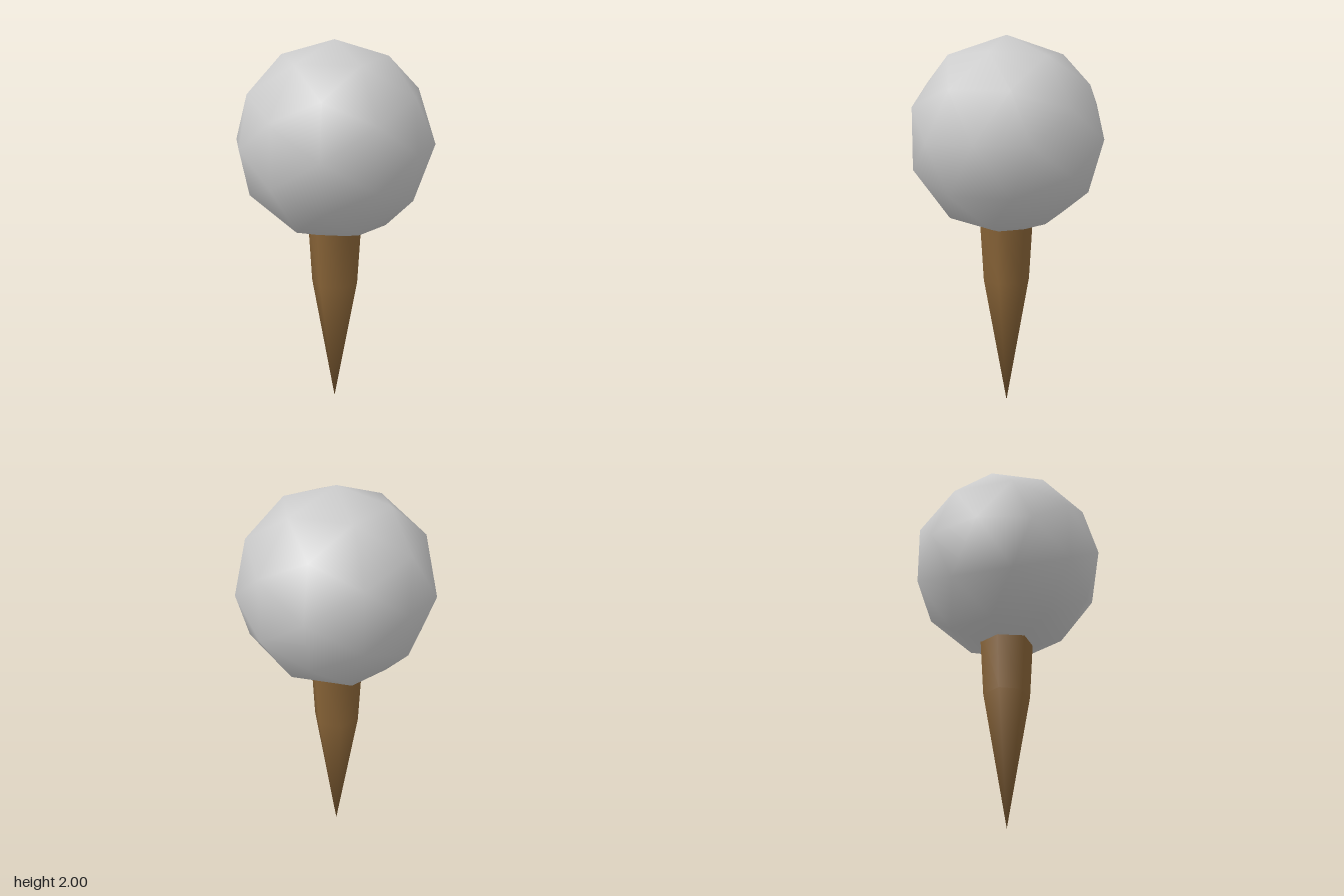
import * as THREE from 'three';
import { mergeVertices } from 'three/addons/utils/BufferGeometryUtils.js';

const mat = (name, color) => {
  const m = new THREE.MeshStandardMaterial({ color });
  m.name = name;
  return m;
};

export function createModel() {
  const group = new THREE.Group();
  const grey = mat('pale grey', 0xcccccc);
  const brown = mat('wood brown', 0x8a6538);

  // Smooth-shaded 80-face ball, one five-fold vertex facing the front
  const radius = 0.524;
  const ballGeo = new THREE.IcosahedronGeometry(radius, 1);
  ballGeo.rotateX(Math.atan(2 / (1 + Math.sqrt(5))));
  ballGeo.rotateZ(Math.PI / 2);
  const ball = new THREE.Mesh(ballGeo, grey);
  ball.name = 'ball';
  ball.position.y = 2 - radius;
  group.add(ball);

  // Six-sided spike: sharp tip, kink, then a nearly straight shaft into the ball
  const profile = [[0, 0], [0.125, 0.7], [0.148, 1.09]].map(([x, y]) => new THREE.Vector2(x, y));
  let spikeGeo = new THREE.LatheGeometry(profile, 6, Math.PI / 2);
  spikeGeo.deleteAttribute('normal');
  spikeGeo.deleteAttribute('uv');
  spikeGeo = mergeVertices(spikeGeo, 1e-4); // shared tip and seam for smooth shading
  spikeGeo.computeVertexNormals();
  const spike = new THREE.Mesh(spikeGeo, brown);
  spike.name = 'spike';
  group.add(spike);

  return group;
}
